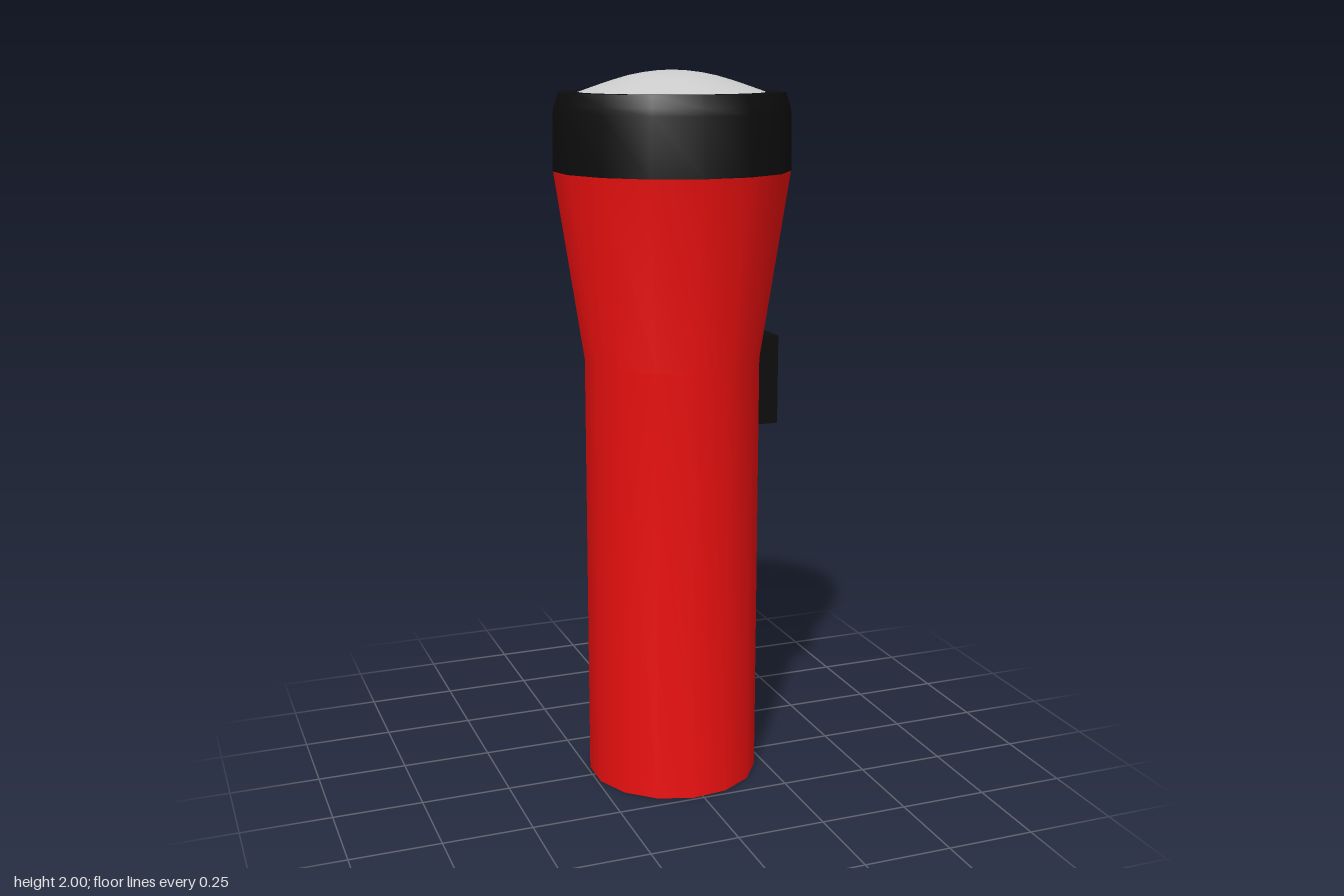
import * as THREE from 'three';
import { toCreasedNormals } from 'three/addons/utils/BufferGeometryUtils.js';

const AXIS_X = -0.003; // the odd-sided barrel sits slightly off centre

const red = new THREE.MeshStandardMaterial({ color: 0xee1010 });
const black = new THREE.MeshStandardMaterial({ color: 0x0d0d0d });
const glass = new THREE.MeshStandardMaterial({ color: 0xcccccc });

// Turned part from [radius, height] pairs listed bottom to top, first corner on +x
function turned(name, profile, sides, material) {
  const points = profile.map(([r, y]) => new THREE.Vector2(r, y));
  const geometry = new THREE.LatheGeometry(points, sides, Math.PI / 2);
  const mesh = new THREE.Mesh(toCreasedNormals(geometry, 0.6), material);
  mesh.name = name;
  mesh.position.x = AXIS_X;
  return mesh;
}

export function createModel() {
  const group = new THREE.Group();
  group.name = 'flashlight';

  // Straight handle flaring out to the head, closed at the bottom
  group.add(turned('body', [[0, 0], [0.243, 0], [0.243, 1.22], [0.322, 1.737]], 15, red));

  // Collar round the head with a softened upper edge and a flat rim
  group.add(turned('headCollar', [
    [0.24, 1.735], [0.323, 1.735], [0.32, 1.89], [0.316, 1.91], [0.305, 1.942], [0.24, 1.942],
  ], 15, black));

  // Shallow domed lens
  group.add(turned('lens', [
    [0.253, 1.942], [0.21, 1.957], [0.165, 1.972], [0.12, 1.985], [0.08, 1.993], [0.04, 1.998], [0, 2],
  ], 24, glass));

  // Slide switch on the left side
  const button = new THREE.Mesh(new THREE.BoxGeometry(0.065, 0.25, 0.154), black);
  button.name = 'switch';
  button.position.set(0.2535, 1.15, 0);
  group.add(button);

  return group;
}
